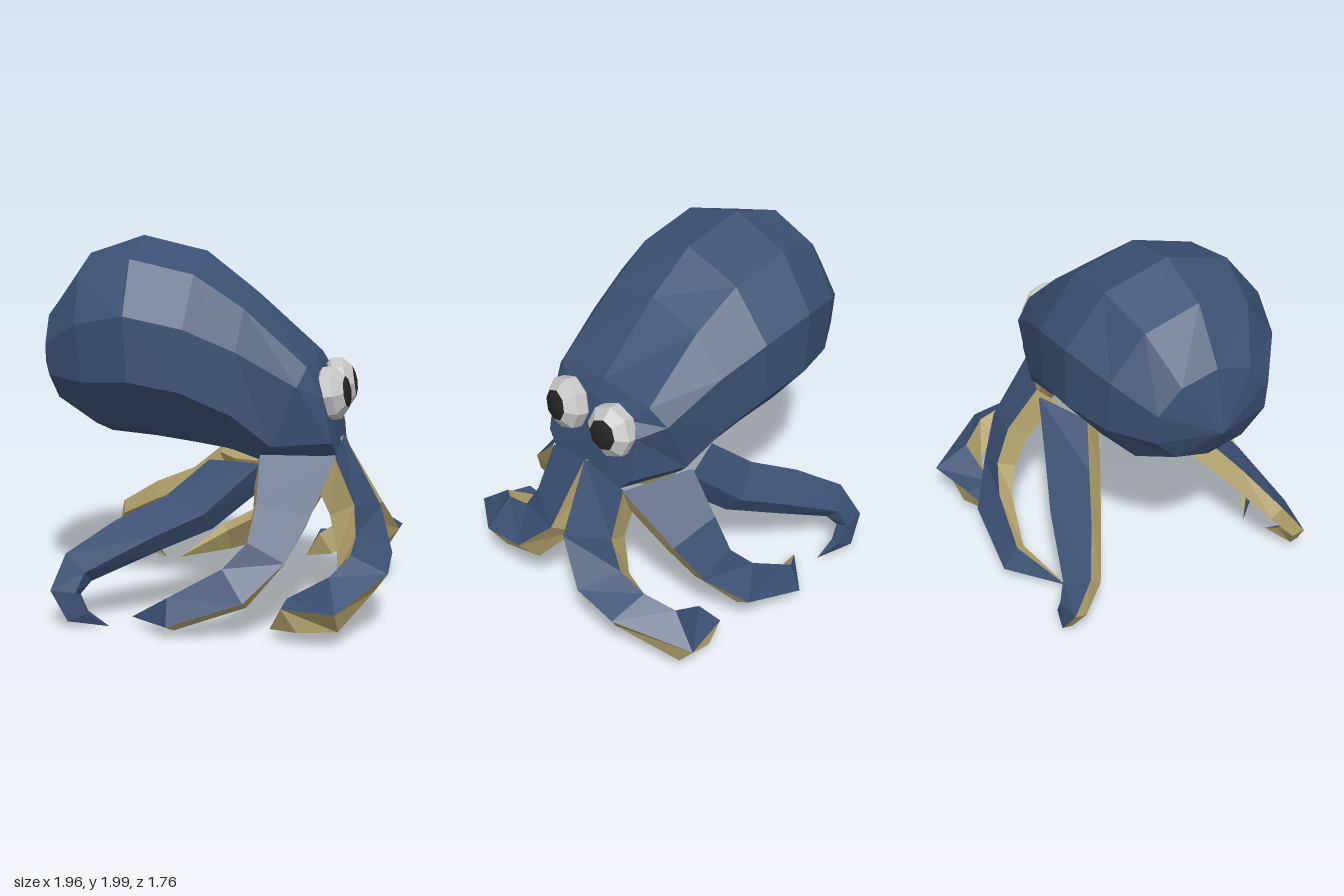
import * as THREE from 'three';

const mat = (name, color) => Object.assign(new THREE.MeshStandardMaterial({ color }), { name });
const vec = p => new THREE.Vector3(...p);

// Faceted geometry from a list of triangles (each three points)
function facets(tris) {
  const g = new THREE.BufferGeometry();
  g.setAttribute('position', new THREE.Float32BufferAttribute(tris.flat(2), 3));
  g.computeVertexNormals();
  return g;
}

// Give a built-in geometry hard facets
function faceted(geometry) {
  const g = geometry.toNonIndexed();
  g.computeVertexNormals();
  return g;
}

// Triangles joining consecutive rings, for the ring edges chosen by keep(j)
function loft(rings, keep = () => true) {
  const tris = [];
  for (let i = 0; i < rings.length - 1; i++) {
    const a = rings[i], b = rings[i + 1], n = a.length;
    for (let j = 0; j < n; j++) {
      if (!keep(j)) continue;
      const k = (j + 1) % n;
      tris.push([a[j], a[k], b[k]], [a[j], b[k], b[j]]);
    }
  }
  return tris.filter(([p, q, r]) => p !== q && q !== r && p !== r);
}

const mirror = tris => tris.map(t => t.map(([x, y, z]) => [x, y, -z]).reverse());

// Ring of the mantle between a top and a bottom point; lower power is boxier
function bodyRing(tx, ty, bx, by, width, power) {
  const pw = v => Math.sign(v) * Math.abs(v) ** power;
  return Array.from({ length: 10 }, (_, i) => {
    const a = (i / 10) * Math.PI * 2, t = (1 - pw(Math.cos(a))) / 2;
    return [tx + (bx - tx) * t, ty + (by - ty) * t, width * (i % 5 ? pw(Math.sin(a)) : 0)];
  });
}

// Rings of an arm: the skin strip runs between two edges, and the underside
// lies below it along the strip's own normal, thinning towards the tip
function armRings(lower, upper, tip, thick, thinning) {
  const mids = lower.map((p, i) => vec(p).lerp(vec(upper[i]), 0.5));
  mids.push(vec(tip));
  const rings = lower.map((p, i) => {
    const a = vec(p), b = vec(upper[i]);
    const along = mids[i + 1].clone().sub(mids[Math.max(i - 1, 0)]);
    const depth = thick * (1 - thinning * i / (lower.length - 1));
    const drop = b.clone().sub(a).cross(along).setLength(depth);
    return [a, b, b.clone().sub(drop), a.clone().sub(drop)].map(v => v.toArray());
  });
  return [...rings, Array(4).fill(tip)];
}

export function createModel() {
  const skin = mat('blue skin', 0x3b5073);
  const under = mat('tan underside', 0xb3a26c);
  const white = mat('eye white', 0xc6c6c6);
  const black = mat('pupil black', 0x242424);
  const model = new THREE.Group();
  const add = (parent, name, geometry, material) => {
    const m = new THREE.Mesh(geometry, material);
    m.name = name;
    parent.add(m);
    return m;
  };

  // Mantle and head, from the back tip to the face
  const point = p => Array(10).fill(p);
  add(model, 'mantleAndHead', facets(loft([
    point([-0.98, 1.3, 0]),
    bodyRing(-0.9, 1.63, -0.84, 1.08, 0.33, 1),
    bodyRing(-0.71, 1.9, -0.6, 0.92, 0.49, 1),
    bodyRing(-0.41, 2, -0.35, 0.9, 0.59, 1),
    bodyRing(-0.06, 1.92, -0.12, 0.87, 0.58, 1),
    bodyRing(0.2, 1.72, 0.14, 0.83, 0.51, 0.85),
    bodyRing(0.54, 1.38, 0.3, 0.82, 0.43, 0.5),
    bodyRing(0.59, 1.29, 0.68, 0.86, 0.33, 0.5),
    point([0.645, 1.08, 0]),
  ])), skin);

  // Arms on both sides; skinEdges are the section edges covered in skin
  const addArms = (name, rings, skinEdges) => {
    for (const side of ['left', 'right']) {
      const arm = new THREE.Group();
      arm.name = `${side} ${name}`;
      const part = keep => {
        const tris = loft(rings, keep);
        return facets(side === 'left' ? tris : mirror(tris));
      };
      add(arm, 'armSkin', part(j => skinEdges.includes(j)), skin);
      add(arm, 'armUnderside', part(j => !skinEdges.includes(j)), under);
      model.add(arm);
    }
  };
  addArms('front arm', armRings(
    [[0.69, 0.94, 0], [0.9, 0.57, 0.05], [0.98, 0.37, 0.25], [0.98, 0.33, 0.52], [0.75, 0.21, 0.88], [0.47, 0.2, 0.8]],
    [[0.67, 0.88, 0.28], [0.78, 0.63, 0.3], [0.8, 0.48, 0.39], [0.79, 0.43, 0.56], [0.7, 0.35, 0.7], [0.48, 0.21, 0.65]],
    [0.4, 0.06, 0.7], 0.16, 0.1), [0]);
  addArms('middle arm', armRings(
    [[0.68, 0.88, 0.28], [0.58, 0.61, 0.56], [0.47, 0.4, 0.68], [0.28, 0.22, 0.82], [-0.11, 0.08, 0.84]],
    [[0.3, 0.9, 0.41], [0.31, 0.69, 0.59], [0.28, 0.5, 0.68], [0.16, 0.37, 0.73], [-0.12, 0.21, 0.76]],
    [-0.35, 0.04, 0.58], 0.15, 0.55), [0]);
  addArms('back arm', armRings(
    [[0.3, 0.85, 0.4], [0.02, 0.59, 0.5], [-0.23, 0.48, 0.6], [-0.57, 0.3, 0.7], [-0.61, 0.2, 0.74], [-0.55, 0.09, 0.73]],
    [[0, 0.83, 0.25], [-0.21, 0.65, 0.35], [-0.46, 0.53, 0.47], [-0.7, 0.37, 0.6], [-0.75, 0.2, 0.72], [-0.65, 0.05, 0.75]],
    [-0.45, 0.01, 0.67], 0.15, 0.65), [0, 3]);

  // Underside where the arms meet
  add(model, 'armHub', faceted(new THREE.CylinderGeometry(0.3, 0.27, 0.06, 10)), under)
    .position.set(0.31, 0.81, 0);

  // Eyes: faceted flattened balls with a dark cap
  const ball = (rows, from, span) =>
    faceted(new THREE.SphereGeometry(1, 8, rows, 0, Math.PI * 2, from, span));
  for (const s of [1, -1]) {
    const eye = new THREE.Group();
    eye.name = s > 0 ? 'leftEye' : 'rightEye';
    add(eye, 'eyeball', ball(4, 0.6, Math.PI - 0.6), white);
    add(eye, 'pupil', ball(1, 0, 0.6), black);
    eye.scale.set(0.15, 0.1, 0.15);
    eye.rotation.set(0, -s * 0.12, -Math.PI / 2 + 0.15, 'YXZ');
    eye.position.set(0.64, 1.195, s * 0.175);
    model.add(eye);
  }
  return model;
}
